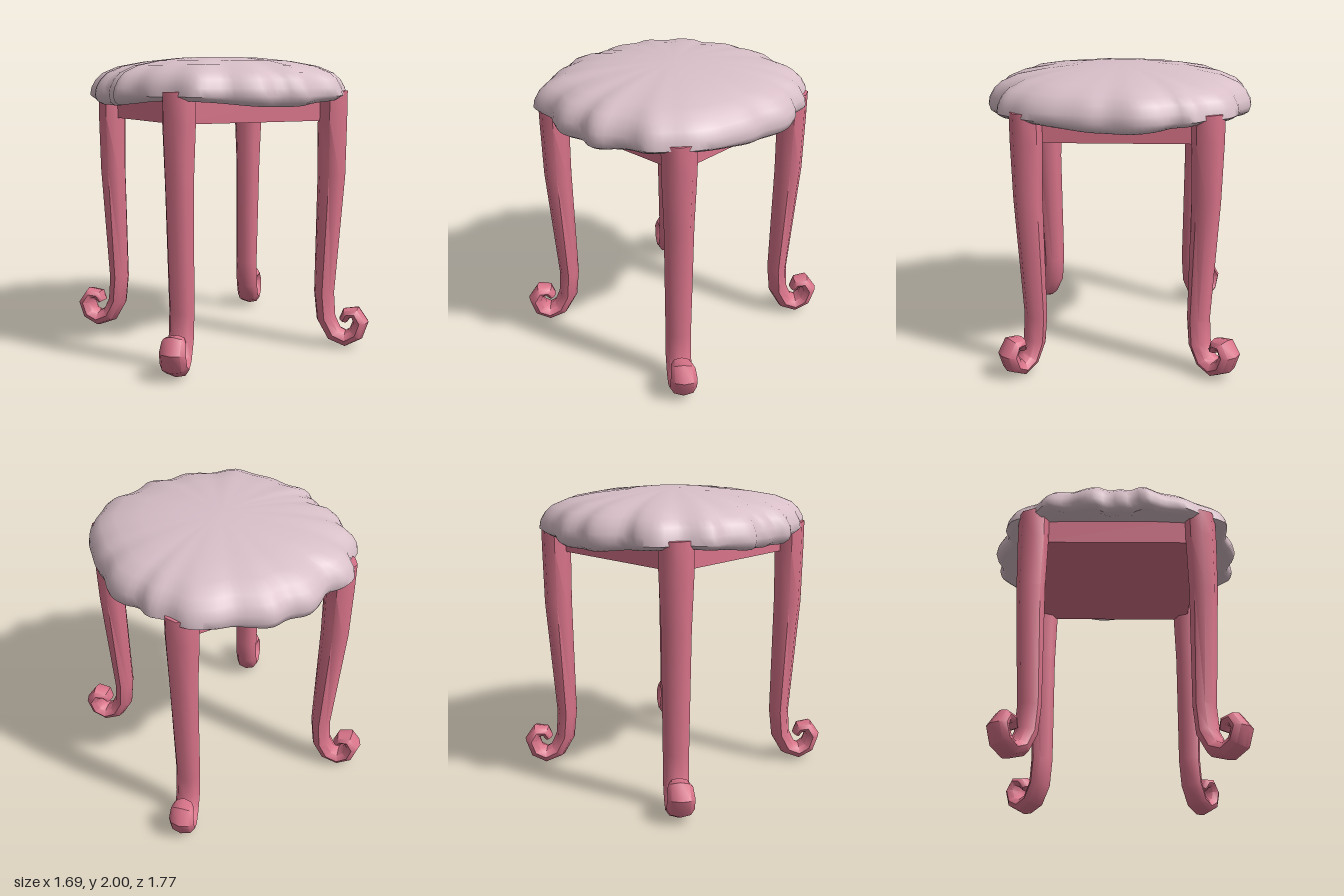
import * as THREE from 'three';
import { toCreasedNormals } from 'three/addons/utils/BufferGeometryUtils.js';

// Closed skin over a list of rings (arrays of Vector3), capped at both ends
function skin(rings, crease) {
  const n = rings[0].length, pos = [], idx = [];
  const push = (v) => pos.push(v.x, v.y, v.z);
  rings.forEach((ring) => ring.forEach(push));
  for (let i = 0; i < rings.length - 1; i++) {
    for (let j = 0; j < n; j++) {
      const a = i * n + j, b = i * n + (j + 1) % n;
      idx.push(a, b, a + n, b, b + n, a + n);
    }
  }
  [0, rings.length - 1].forEach((r, end) => {
    const mid = new THREE.Vector3();
    rings[r].forEach((v) => mid.addScaledVector(v, 1 / n));
    const c = pos.length / 3;
    push(mid);
    for (let j = 0; j < n; j++) {
      const a = r * n + j, b = r * n + (j + 1) % n;
      if (end) idx.push(c, a, b); else idx.push(c, b, a);
    }
  });
  const g = new THREE.BufferGeometry();
  g.setAttribute('position', new THREE.Float32BufferAttribute(pos, 3));
  g.setIndex(idx);
  return toCreasedNormals(g, crease);
}

// Curved leg ending in an outward scroll: [radius, height, half thickness, half width]
function legGeometry() {
  const path = [
    [0.81, 1.77, 0.1, 0.11], [0.81, 1.58, 0.1, 0.11], [0.81, 1.2, 0.095, 0.095],
    [0.775, 0.38, 0.07, 0.085], [0.792, 0.2, 0.067, 0.085], [0.85, 0.09, 0.062, 0.085],
    [0.93, 0.056, 0.056, 0.088], [1.0, 0.095, 0.056, 0.09], [1.03, 0.18, 0.055, 0.088],
    [0.992, 0.243, 0.047, 0.08], [0.935, 0.235, 0.04, 0.07], [0.91, 0.185, 0.03, 0.05],
  ];
  const sides = 8;
  const rings = path.map(([r, y, t, w], i) => {
    const p = path[Math.max(i - 1, 0)], q = path[Math.min(i + 1, path.length - 1)];
    const tan = new THREE.Vector2(q[0] - p[0], q[1] - p[1]).normalize();
    const shift = -Math.max(r - 0.8, 0) * 0.12; // foot turns slightly sideways
    return Array.from({ length: sides }, (_, j) => {
      const a = (j / sides) * Math.PI * 2, u = Math.cos(a) * t;
      return new THREE.Vector3(r - tan.y * u, y + tan.x * u, shift + Math.sin(a) * w);
    });
  });
  return skin(rings, 0.85);
}

// Scalloped cushion: one outline scaled through a domed profile
function cushionGeometry() {
  const outline = [
    [0.845, -0.125], [0.81, -0.27], [0.755, -0.35], [0.745, -0.47], [0.665, -0.56], [0.6, -0.69],
    [0.47, -0.765], [0.33, -0.79], [0.24, -0.84], [0.13, -0.885], [0, -0.86], [-0.125, -0.885],
    [-0.22, -0.85], [-0.34, -0.77], [-0.445, -0.78], [-0.57, -0.72], [-0.635, -0.59],
    [-0.775, -0.47], [-0.775, -0.34], [-0.83, -0.22], [-0.84, -0.14], [-0.8, -0.06],
    [-0.82, 0.03], [-0.8, 0.09], [-0.85, 0.185], [-0.775, 0.32], [-0.73, 0.47], [-0.65, 0.59],
    [-0.55, 0.755], [-0.35, 0.78], [-0.255, 0.835], [-0.15, 0.87], [0, 0.84], [0.1, 0.88],
    [0.165, 0.88], [0.26, 0.815], [0.355, 0.78], [0.495, 0.765], [0.6, 0.66], [0.685, 0.57],
    [0.745, 0.45], [0.78, 0.31], [0.81, 0.17], [0.81, 0.05],
  ];
  const curve = new THREE.CatmullRomCurve3(
    outline.map(([x, z]) => new THREE.Vector3(x, 0, z)), true);
  const rim = curve.getSpacedPoints(132).slice(0, -1);
  // [scale, height] from the underside up to the crown
  const profile = [
    [0.03, 1.74], [0.75, 1.74], [0.88, 1.69], [0.95, 1.675], [0.985, 1.695], [1, 1.74],
    [0.99, 1.79], [0.955, 1.845], [0.9, 1.89], [0.78, 1.935], [0.58, 1.968], [0.32, 1.992], [0.03, 2],
  ];
  const rings = profile.map(([s, y]) => rim.map((p) => {
    const a = Math.atan2(p.z, p.x);
    // hem lifts a little at the four corners
    const lift = y < 1.73 ? 0.04 * Math.sin(2 * a) ** 2 : 0;
    return new THREE.Vector3(p.x * s, y + lift, p.z * s);
  }));
  return skin(rings, 1.0);
}

export function createModel() {
  const model = new THREE.Group();
  model.name = 'stool';
  const wood = new THREE.MeshStandardMaterial({ color: 0xd9748a });
  wood.name = 'rose wood';
  const fabric = new THREE.MeshStandardMaterial({ color: 0xd8bfc8 });
  fabric.name = 'pale pink fabric';

  const add = (name, geometry, material) => {
    const mesh = new THREE.Mesh(geometry, material);
    mesh.name = name;
    model.add(mesh);
    return mesh;
  };

  add('cushion', cushionGeometry(), fabric);

  // Solid square frame under the cushion
  add('seatFrame', new THREE.BoxGeometry(1.14, 0.21, 1.14), wood).position.y = 1.675;

  // Four legs on the diagonals
  const leg = legGeometry();
  ['frontLeftLeg', 'frontRightLeg', 'backRightLeg', 'backLeftLeg'].forEach((name, i) => {
    add(name, leg, wood).rotation.y = -Math.PI / 4 - (i * Math.PI) / 2;
  });
  return model;
}
